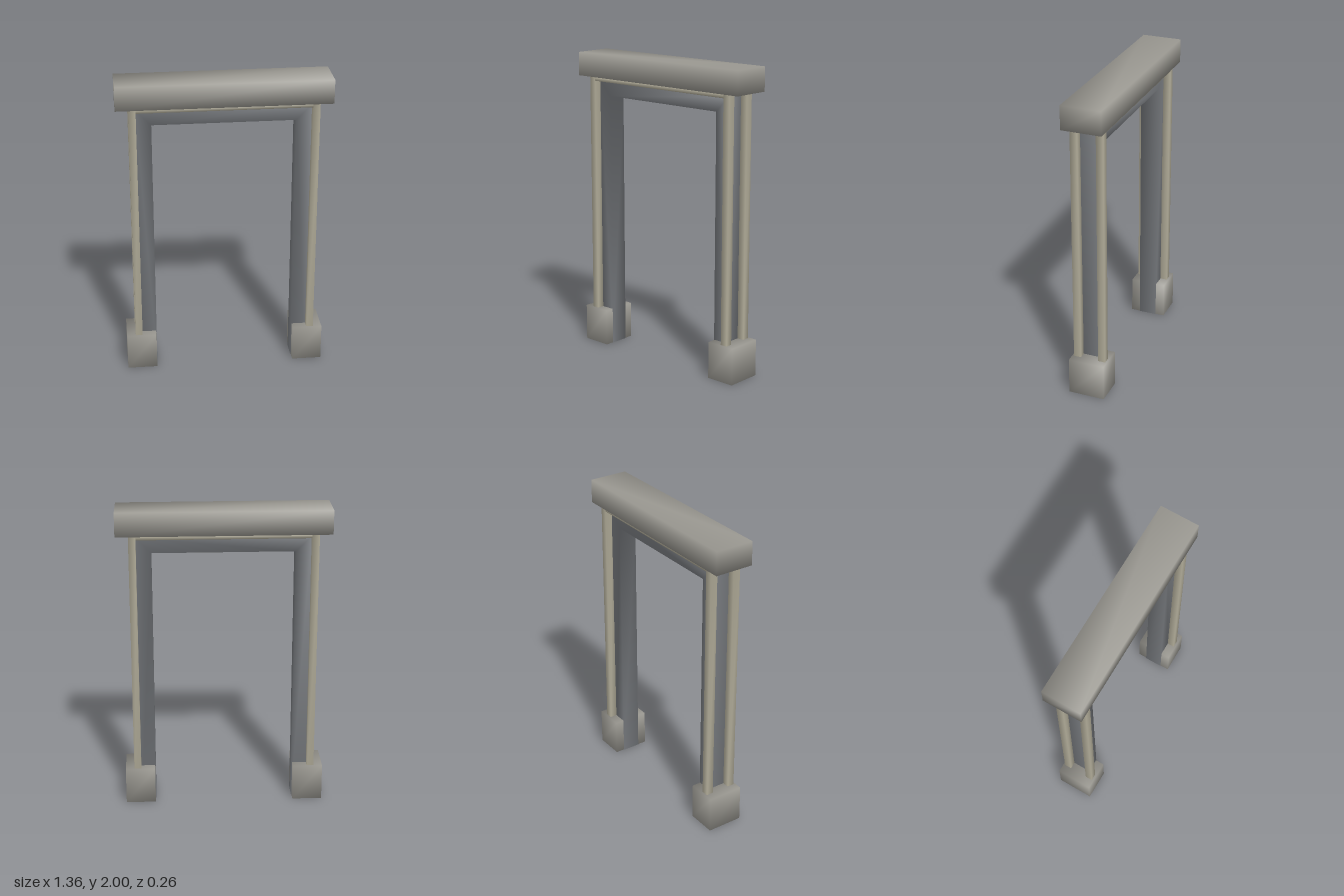
import * as THREE from 'three';
import { mergeVertices } from 'three/addons/utils/BufferGeometryUtils.js';

const stone = new THREE.MeshStandardMaterial({ color: 0x9c9a93 });
const lining = new THREE.MeshStandardMaterial({ color: 0x74777b });
const trim = new THREE.MeshStandardMaterial({ color: 0xb0ab98 });

// Share corners so the shading runs smoothly round the edges
function soften(geometry) {
  geometry.deleteAttribute('normal');
  geometry.deleteAttribute('uv');
  const merged = mergeVertices(geometry, 1e-4);
  merged.computeVertexNormals();
  return merged;
}

function addMesh(parent, name, geometry, material) {
  const mesh = new THREE.Mesh(soften(geometry), material);
  mesh.name = name;
  parent.add(mesh);
  return mesh;
}

// Block given by its lower and upper limits on each axis
function addBlock(parent, name, material, [x0, x1], [y0, y1], [z0, z1]) {
  const geometry = new THREE.BoxGeometry(x1 - x0, y1 - y0, z1 - z0);
  geometry.translate((x0 + x1) / 2, (y0 + y1) / 2, (z0 + z1) / 2);
  return addMesh(parent, name, geometry, material);
}

export function createModel() {
  const group = new THREE.Group();
  group.name = 'doorway';

  // Stone lintel
  addBlock(group, 'lintel', stone, [-0.68, 0.68], [1.845, 2], [-0.13, 0.13]);

  // Inner lining: two jambs joined by a head
  const outline = new THREE.Shape([
    [-0.552, 0], [-0.456, 0], [-0.456, 1.72], [0.456, 1.72],
    [0.456, 0], [0.552, 0], [0.552, 1.82], [-0.552, 1.82],
  ].map(([x, y]) => new THREE.Vector2(x, y)));
  const liningGeometry = new THREE.ExtrudeGeometry(outline, { depth: 0.12, bevelEnabled: false });
  liningGeometry.translate(0, 0, -0.06);
  addMesh(group, 'jambLining', liningGeometry, lining);

  // Foot blocks
  for (const [side, s] of [['left', 1], ['right', -1]]) {
    const span = (a, b) => (s > 0 ? [a, b] : [-b, -a]);
    addBlock(group, side + 'FootBlock', stone, span(0.46, 0.655), [0, 0.243], [-0.12, 0.12]);

    // Upright trim on the front and back
    for (const [face, z] of [['Front', [0.06, 0.108]], ['Back', [-0.108, -0.06]]]) {
      addBlock(group, side + face + 'Trim', trim, span(0.552, 0.598), [0.002, 1.845], z);
    }
  }

  // Trim strips under the lintel
  for (const [name, z] of [['frontHeadTrim', [0.06, 0.108]], ['backHeadTrim', [-0.108, -0.06]]]) {
    addBlock(group, name, trim, [-0.552, 0.552], [1.818, 1.845], z);
  }

  return group;
}
